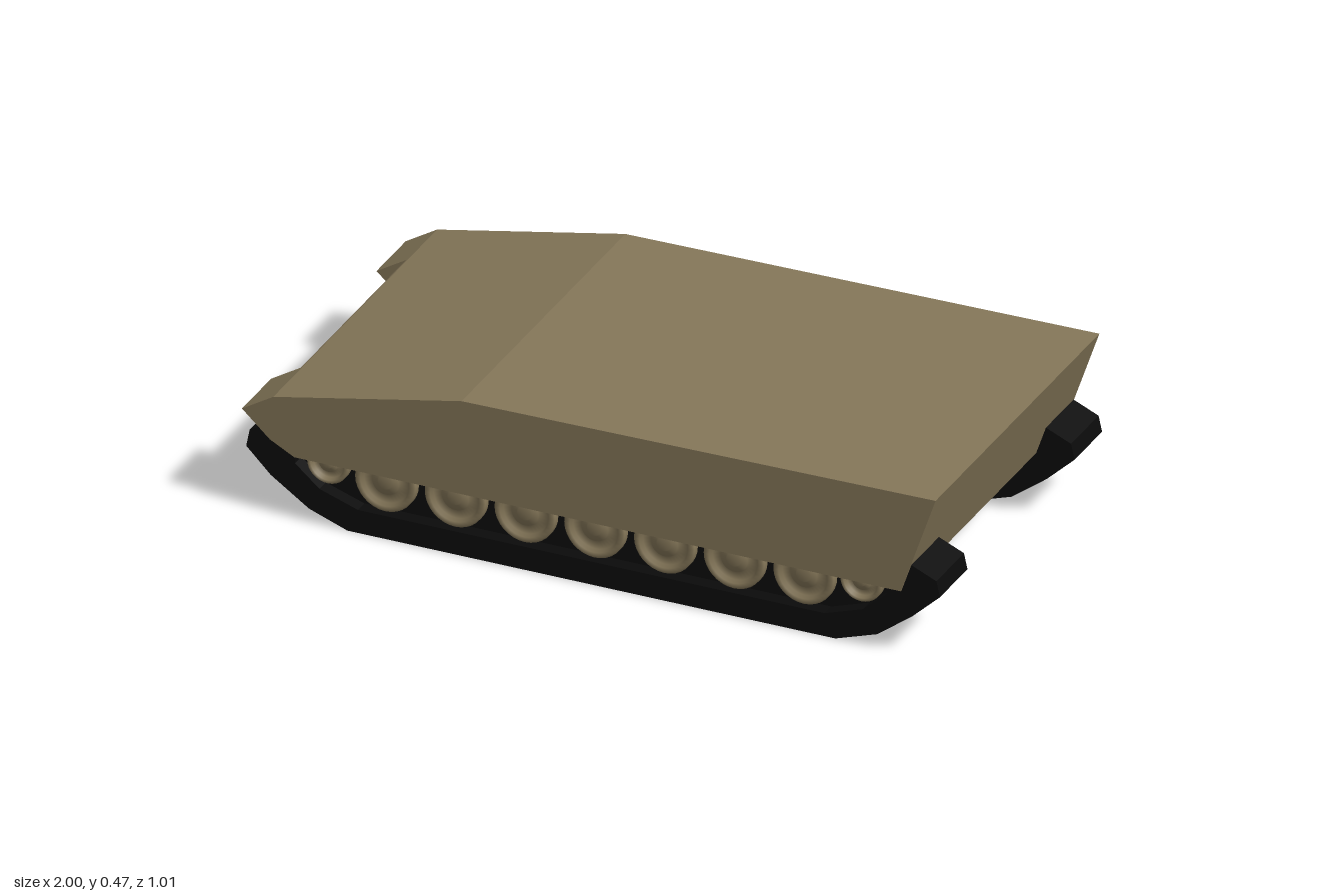
import * as THREE from 'three';

const tan = new THREE.MeshStandardMaterial({ color: 0x857759, flatShading: true });
const wheelTan = new THREE.MeshStandardMaterial({ color: 0x857759, side: THREE.DoubleSide });
const black = new THREE.MeshStandardMaterial({ color: 0x0b0b0b, flatShading: true });

const points = (list) => list.map(([x, y]) => new THREE.Vector2(x, y));

// Extrudes a side profile (x, y) from z0 to z1
function slab(name, profile, z0, z1, material, hole) {
  const shape = new THREE.Shape(points(profile));
  if (hole) shape.holes.push(new THREE.Path(points(hole)));
  const geometry = new THREE.ExtrudeGeometry(shape, { depth: z1 - z0, bevelEnabled: false });
  geometry.translate(0, 0, z0);
  const mesh = new THREE.Mesh(geometry, material);
  mesh.name = name;
  return mesh;
}

// Dished road wheel with stepped rings, axis along z, face at z = 0
function wheelGeometry(r, depth) {
  const profile = points([
    [r, -depth], [r, -0.005], [r * 0.95, 0], [r * 0.8, 0], [r * 0.74, -0.012],
    [r * 0.5, -0.016], [r * 0.44, -0.006], [r * 0.26, -0.004], [r * 0.22, 0], [0, 0],
  ]);
  return new THREE.LatheGeometry(profile, 32).rotateX(Math.PI / 2);
}

export function createModel() {
  const model = new THREE.Group();
  model.name = 'trackedVehicle';

  // Hull: a full-width body with two nose prongs beside a central notch
  const roof = [[0.89, 0.185], [0.99, 0.475], [-0.37, 0.46], [-0.91, 0.35]];
  const noseProfile = [[-0.85, 0.185], ...roof, [-1, 0.295], [-0.92, 0.222]];
  const bodyProfile = [[-0.85, 0.185], ...roof, [-0.915, 0.347], [-0.915, 0.219]];
  const hull = new THREE.Group();
  hull.name = 'hull';
  hull.add(
    slab('hullCentre', bodyProfile, -0.325, 0.325, tan),
    slab('hullSideLeft', noseProfile, 0.325, 0.505, tan),
    slab('hullSideRight', noseProfile, -0.505, -0.325, tan),
  );
  model.add(hull);

  // Track outline and the recess that holds the wheels
  const trackOutline = [
    [-0.7, 0], [0.7, 0], [0.82, 0.04], [0.92, 0.115], [1, 0.19], [0.99, 0.235], [0.91, 0.27],
    [-0.91, 0.27], [-0.98, 0.235], [-0.99, 0.185], [-0.92, 0.115], [-0.81, 0.04],
  ];
  const recess = [
    [-0.67, 0.068], [0.67, 0.068], [0.78, 0.105], [0.85, 0.165], [0.85, 0.25],
    [-0.85, 0.25], [-0.85, 0.165], [-0.78, 0.105],
  ];
  const bigWheel = wheelGeometry(0.087, 0.035);
  const smallWheel = wheelGeometry(0.06, 0.035);

  for (const side of [1, -1]) {
    const track = new THREE.Group();
    track.name = side > 0 ? 'trackLeft' : 'trackRight';
    const z = (a, b) => (side > 0 ? [a, b] : [-b, -a]);
    track.add(
      slab('trackBody', trackOutline, ...z(0.33, 0.46), black),
      slab('trackRim', trackOutline, ...z(0.46, 0.5), black, recess),
    );

    // Seven road wheels with a smaller wheel at each end
    for (let i = -4; i <= 4; i++) {
      const end = Math.abs(i) === 4;
      const wheel = new THREE.Mesh(end ? smallWheel : bigWheel, wheelTan);
      wheel.name = end ? 'endWheel' : 'roadWheel';
      wheel.position.set(end ? Math.sign(i) * 0.765 : i * 0.2, end ? 0.175 : 0.157, side * 0.485);
      if (side < 0) wheel.rotation.y = Math.PI;
      track.add(wheel);
    }
    model.add(track);
  }
  return model;
}
